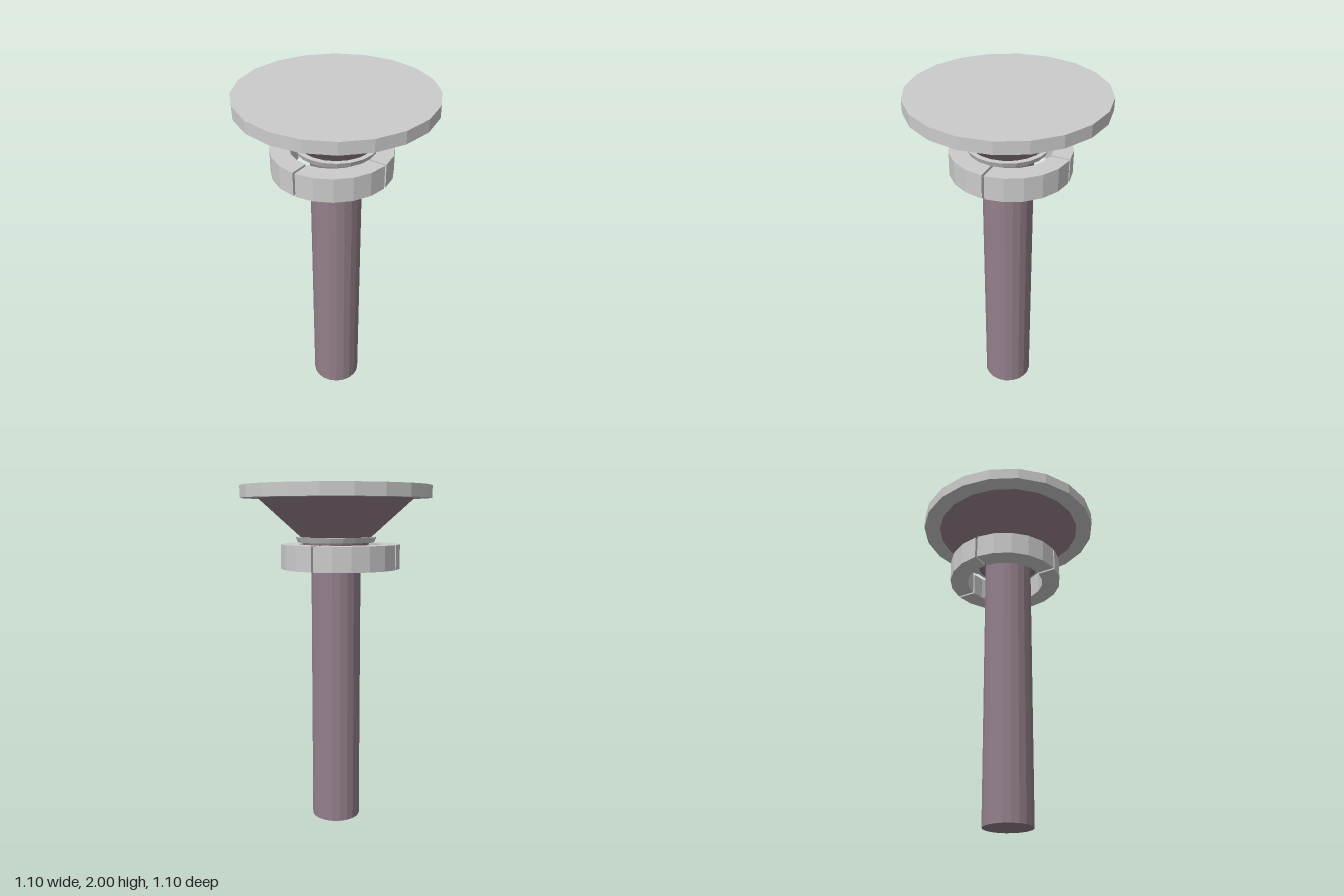
import * as THREE from 'three';

const SIDES = 20;
const grey = new THREE.MeshStandardMaterial({ color: 0xcccccc, flatShading: true });
const mauve = new THREE.MeshStandardMaterial({ color: 0x94808c, flatShading: true });

// Faceted round part between two heights
function round(name, rTop, rBottom, y0, y1, material) {
  const mesh = new THREE.Mesh(new THREE.CylinderGeometry(rTop, rBottom, y1 - y0, SIDES), material);
  mesh.name = name;
  mesh.position.y = (y0 + y1) / 2;
  return mesh;
}

// One quarter of the split ring, with a narrow gap at each end
function ringQuarter(inner, outer, height, gap) {
  const steps = SIDES / 4;
  const points = [];
  const arc = (r, i) => {
    const margin = gap / 2 / r;
    const a = margin + (Math.PI / 2 - 2 * margin) * i / steps;
    points.push(new THREE.Vector2(r * Math.cos(a), r * Math.sin(a)));
  };
  for (let i = 0; i <= steps; i++) arc(outer, i);
  for (let i = steps; i >= 0; i--) arc(inner, i);
  const geometry = new THREE.ExtrudeGeometry(new THREE.Shape(points), { depth: height, bevelEnabled: false });
  return geometry.rotateX(-Math.PI / 2);
}

export function createModel() {
  const model = new THREE.Group();
  model.name = 'pedestal';

  // Column, neck and flared support
  model.add(round('stem', 0.145, 0.145, 0, 1.67, mauve));
  model.add(round('neck', 0.2, 0.19, 1.665, 1.705, mauve));
  model.add(round('flare', 0.45, 0.2, 1.705, 1.93, mauve));

  // Thin collar and flat top
  model.add(round('collar', 0.235, 0.222, 1.68, 1.71, grey));
  model.add(round('topDisc', 0.55, 0.55, 1.93, 2, grey));

  // Loose ring in four quarters, sitting slightly off centre
  const ring = new THREE.Group();
  ring.name = 'splitRing';
  ring.position.set(-0.03, 1.53, -0.005);
  const quarter = ringQuarter(0.235, 0.345, 0.14, 0.014);
  for (let i = 0; i < 4; i++) {
    const mesh = new THREE.Mesh(quarter, grey);
    mesh.name = 'ringQuarter';
    mesh.rotation.y = i * Math.PI / 2;
    ring.add(mesh);
  }
  model.add(ring);

  return model;
}
